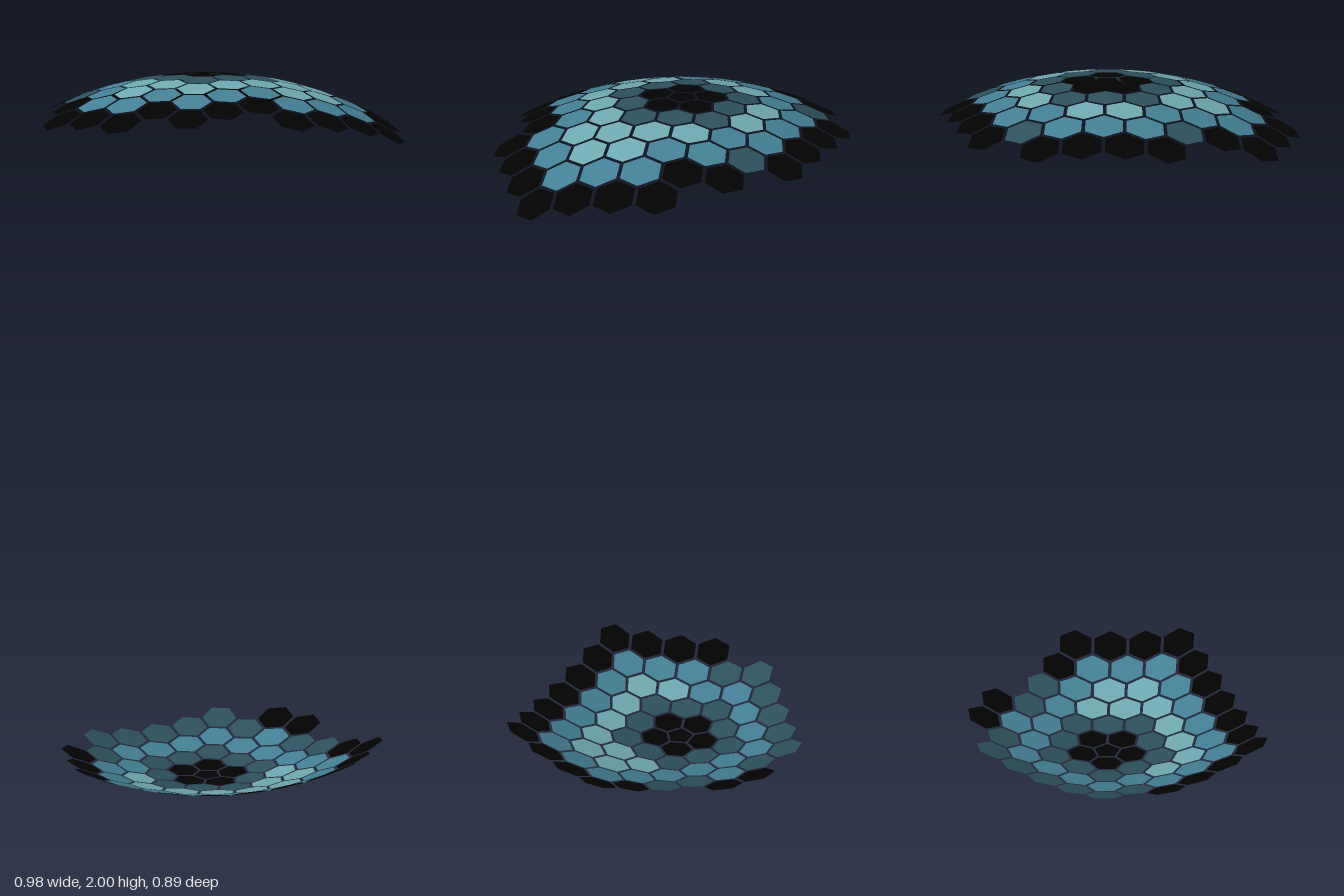
import * as THREE from 'three';
import { mergeGeometries } from 'three/addons/utils/BufferGeometryUtils.js';

// Two opposite caps of a unit sphere tiled with hexagons (a pentagon at each pole),
// following an icosahedron whose edges are split into FREQ steps.
const FREQ = 12;
const TURN = 1.4;        // twist about the vertical axis, degrees
const TILE_SCALE = 0.91; // leaves the gaps between tiles
const FULL_RINGS = 4;

// Which tiles exist in the ragged outer rings, one string per side of the pentagon.
const UPPER = {
  5: ['01111', '01111', '11111', '11111', '01111'],
  6: ['000000', '000111', '111100', '001110', '000000'],
};
const LOWER = {
  5: ['11111', '11110', '00000', '00110', '01111'],
  6: ['000000', '000000', '000000', '000000', '001111'],
};

const TONES = { darkTiles: 0x020202, dimTiles: 0x2c515d, mediumTiles: 0x447f95, brightTiles: 0x6fa9b0 };

// Icosahedron corner below the pole, at the start of a side.
function icoCorner(side) {
  const a = THREE.MathUtils.degToRad(TURN - 36 + 72 * side);
  const r = 2 / Math.sqrt(5);
  return new THREE.Vector3(r * Math.sin(a), 1 / Math.sqrt(5), -r * Math.cos(a));
}

// Tile centres, ring by ring around the pole, each with its neighbours in order.
function makeTiles(rings) {
  const pole = new THREE.Vector3(0, 1, 0);
  const tiles = [{ ring: 0, side: 0, step: 0, centre: pole }];
  for (let ring = 1; ring <= rings; ring++) {
    for (let side = 0; side < 5; side++) {
      const a = pole.clone().lerp(icoCorner(side), ring / FREQ);
      const b = pole.clone().lerp(icoCorner(side + 1), ring / FREQ);
      for (let step = 0; step < ring; step++) {
        tiles.push({ ring, side, step, centre: a.clone().lerp(b, step / ring).normalize() });
      }
    }
  }
  for (const tile of tiles) tile.near = neighbours(tile, tiles);
  return tiles;
}

// The five or six closest tiles, counter-clockwise as seen from outside.
function neighbours(tile, tiles) {
  const c = tile.centre;
  const east = new THREE.Vector3(1, 0, 0).addScaledVector(c, -c.x).normalize();
  const north = new THREE.Vector3().crossVectors(c, east);
  const angle = (t) => Math.atan2(t.centre.dot(north), t.centre.dot(east));
  return tiles
    .filter((t) => t !== tile)
    .sort((s, t) => s.centre.distanceToSquared(c) - t.centre.distanceToSquared(c))
    .slice(0, tile.ring === 0 ? 5 : 6)
    .sort((s, t) => angle(s) - angle(t));
}

// Outline of a tile: the midpoints between it and each pair of adjacent neighbours.
function tileOutline({ centre, near }) {
  return near.map((t, i) => {
    const next = near[(i + 1) % near.length];
    return t.centre.clone().add(next.centre).add(centre).normalize()
      .lerp(centre, 1 - TILE_SCALE).normalize();
  });
}

// Flat polygon as a fan.
function tileGeometry(outline) {
  const g = new THREE.BufferGeometry().setFromPoints(outline);
  const index = [];
  for (let i = 1; i < outline.length - 1; i++) index.push(0, i, i + 1);
  g.setIndex(index);
  g.computeVertexNormals();
  return g;
}

// Black at the pole and along the ragged rim, brightening towards the band between.
function tileTone(tile, kept) {
  const onRim = (t) => t.near.some((n) => !kept(n));
  if (tile.ring <= 1) return 'darkTiles';
  if (onRim(tile)) return tile.ring > FULL_RINGS ? 'darkTiles' : 'dimTiles';
  if (tile.ring === 2) return 'dimTiles';
  return tile.near.some(onRim) ? 'mediumTiles' : 'brightTiles';
}

function makeCap(name, mask, lower, tiles) {
  const cap = new THREE.Group();
  cap.name = name;
  const kept = ({ ring, side, step }) => ring <= FULL_RINGS || mask[ring]?.[side][step] === '1';
  const parts = {};
  for (const tile of tiles.filter(kept)) {
    let outline = tileOutline(tile);
    // The lower cap is the point reflection of the upper one.
    if (lower) outline = outline.map((p) => p.negate()).reverse();
    (parts[tileTone(tile, kept)] ??= []).push(tileGeometry(outline));
  }
  for (const [tone, geometries] of Object.entries(parts)) {
    const material = new THREE.MeshStandardMaterial({ color: TONES[tone], side: THREE.DoubleSide });
    const mesh = new THREE.Mesh(mergeGeometries(geometries), material);
    mesh.name = tone;
    cap.add(mesh);
  }
  return cap;
}

export function createModel() {
  const model = new THREE.Group();
  model.name = 'tiledSphereCaps';
  const tiles = makeTiles(7); // the last ring only shapes its neighbours
  const caps = [makeCap('upperCap', UPPER, false, tiles), makeCap('lowerCap', LOWER, true, tiles)];
  for (const cap of caps) {
    cap.position.set(-0.052, 1, -0.031);
    model.add(cap);
  }
  return model;
}
